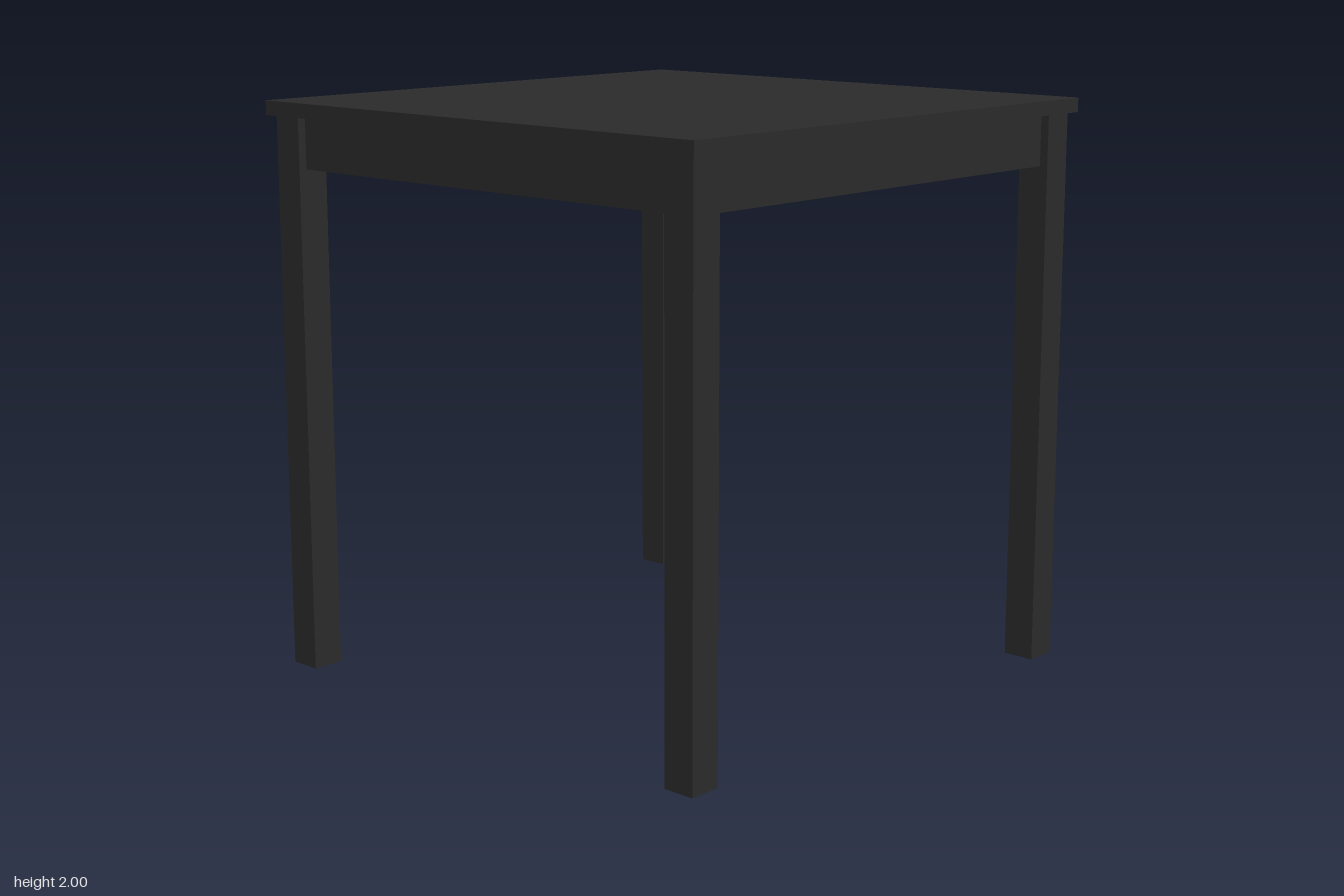
import * as THREE from 'three';

export function createModel() {
  const table = new THREE.Group();
  table.name = 'table';
  const material = new THREE.MeshStandardMaterial({ color: 0x2a2a2a });

  const topY = 1.95;     // underside of the table top
  const legSize = 0.115;
  const legPos = 0.9025; // leg centre, from the middle
  const apronHeight = 0.18;
  const apronPos = 0.91; // apron centre, set slightly behind the leg faces

  function box(name, w, h, d, x, y, z) {
    const mesh = new THREE.Mesh(new THREE.BoxGeometry(w, h, d), material);
    mesh.name = name;
    mesh.position.set(x, y, z);
    table.add(mesh);
  }

  // Square top
  box('tableTop', 1.97, 0.05, 1.97, 0, topY + 0.025, 0);

  // Four legs
  for (const [sx, side] of [[1, 'Left'], [-1, 'Right']]) {
    for (const [sz, end] of [[1, 'front'], [-1, 'back']]) {
      box(`${end}${side}Leg`, legSize, topY, legSize, sx * legPos, topY / 2, sz * legPos);
    }
  }

  // Aprons between the legs
  const span = 2 * legPos - legSize;
  const apronY = topY - apronHeight / 2;
  for (const s of [1, -1]) {
    box(s > 0 ? 'frontApron' : 'backApron', span, apronHeight, 0.04, 0, apronY, s * apronPos);
    box(s > 0 ? 'leftApron' : 'rightApron', 0.04, apronHeight, span, s * apronPos, apronY, 0);
  }

  return table;
}
